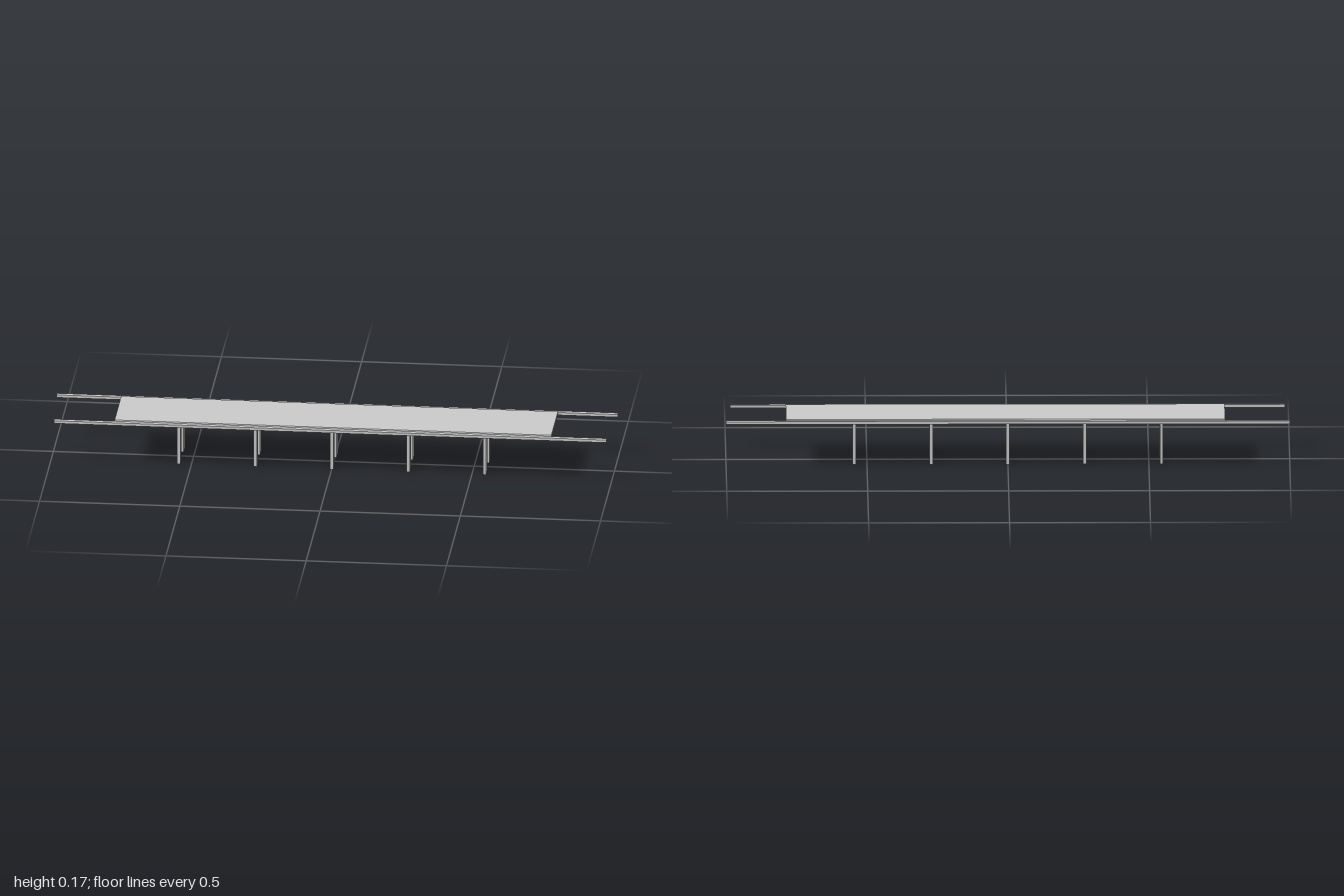
import * as THREE from 'three';

export function createModel() {
  const group = new THREE.Group();
  const material = new THREE.MeshStandardMaterial({ color: 0xcccccc, flatShading: true });

  const add = (name, geometry, x = 0, y = 0, z = 0) => {
    const mesh = new THREE.Mesh(geometry, material);
    mesh.name = name;
    mesh.position.set(x, y, z);
    group.add(mesh);
  };

  const bottom = 0.159;

  // Deck slab with chamfered upper edges, extruded along the length
  const x0 = -0.77, x1 = 0.787;
  const half = 0.122, top = 0.173, chamfer = 0.003;
  const section = new THREE.Shape([
    [-half, bottom], [half, bottom], [half, top - 2 * chamfer],
    [half - chamfer, top], [chamfer - half, top], [-half, top - 2 * chamfer],
  ].map(([a, b]) => new THREE.Vector2(a, b)));
  const deck = new THREE.ExtrudeGeometry(section, { depth: x1 - x0, bevelEnabled: false });
  deck.rotateY(Math.PI / 2);
  add('deck', deck, x0);

  // Side rails projecting beyond both ends of the deck
  const railHeight = 0.01, railWidth = 0.017;
  add('backRail', new THREE.BoxGeometry(2, railHeight, railWidth), 0, bottom + railHeight / 2, -0.129);
  add('frontRail', new THREE.BoxGeometry(1.97, railHeight, railWidth), 0, bottom + railHeight / 2, 0.129);

  // Five pairs of flat posts
  const post = new THREE.BoxGeometry(0.012, bottom, 0.044);
  for (let i = -2; i <= 2; i++) {
    for (const side of [-1, 1]) {
      add(side > 0 ? 'frontPost' : 'backPost', post, i * 0.2725, bottom / 2, side * 0.0595);
    }
  }

  return group;
}
